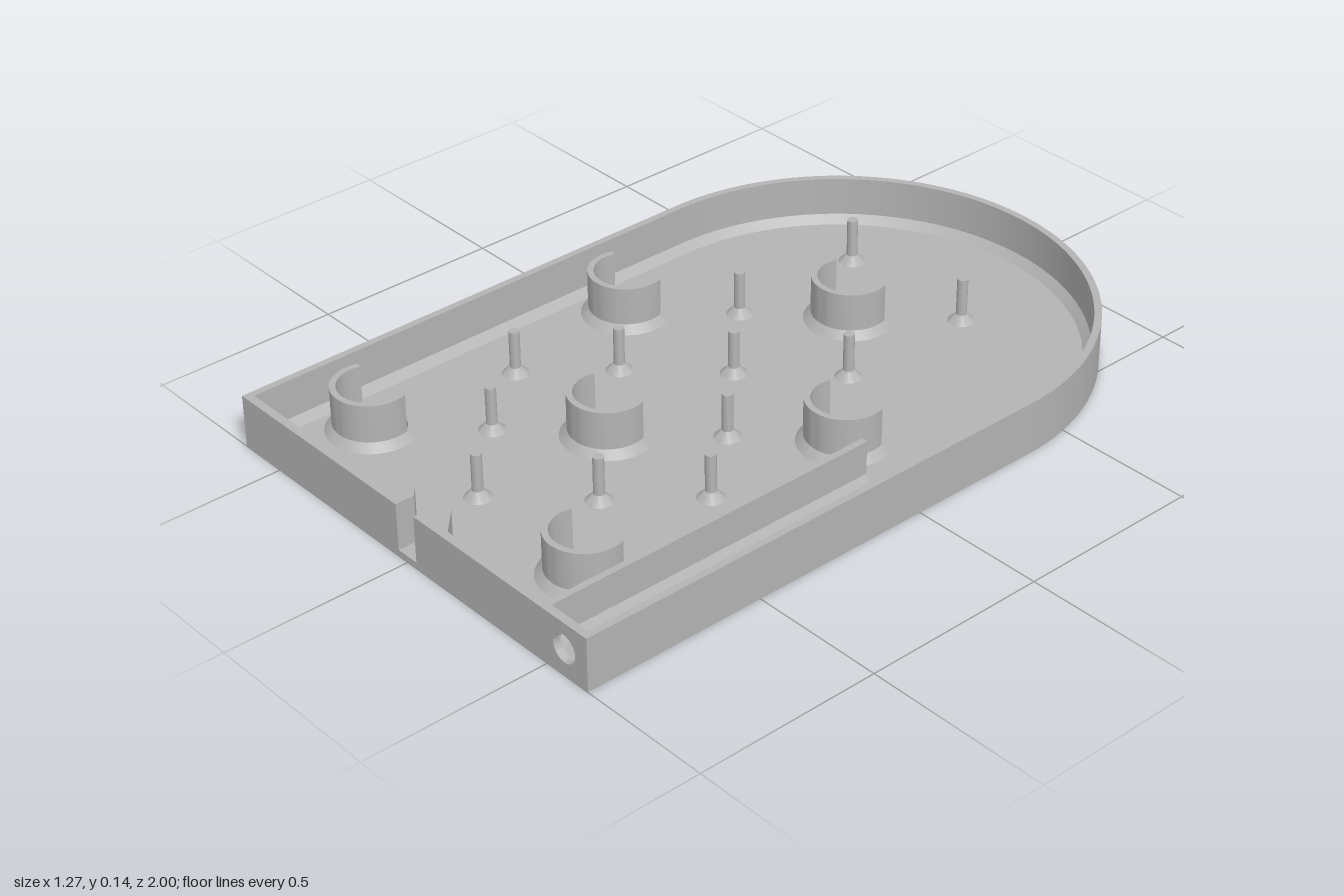
import * as THREE from 'three';
import { mergeGeometries, toCreasedNormals } from 'three/addons/utils/BufferGeometryUtils.js';

const R = 0.637, RI = 0.618, RC = 0.597;   // outer wall, inner wall, chamfer foot
const CZ = R - 1;                          // centre of the round end
const FLOOR = 0.017, FOOT = 0.038, TOP = 0.143, POST = 0.14;
const FRONT = 0.978;                       // inner face of the front wall
const HOLE = 0.083;

const shapeOf = pts => new THREE.Shape(pts.map(([x, y]) => new THREE.Vector2(x, y)));
const extrude = (shape, depth) =>
  toCreasedNormals(new THREE.ExtrudeGeometry(shape, { depth, bevelEnabled: false, curveSegments: 48 }), 0.5);
// plan shapes use (x, -z); raise them from y0 to y1
const slab = (shape, y0, y1) => extrude(shape, y1 - y0).rotateX(-Math.PI / 2).translate(0, y0, 0);
// section shapes use (x, y); run them from z0 to z1
const run = (shape, z0, z1) => extrude(shape, z1 - z0).translate(0, 0, z0);
const lathe = (pts, seg, start = 0, len = Math.PI * 2) => toCreasedNormals(
  new THREE.LatheGeometry(pts.map(([x, y]) => new THREE.Vector2(x, y)), seg, start, len).toNonIndexed(), 0.5);

export function createModel() {
  const group = new THREE.Group();
  const grey = new THREE.MeshStandardMaterial({ color: 0xb4b4b4 });
  grey.name = 'grey plastic';
  const add = (name, geometry, x = 0, z = 0) => {
    const mesh = new THREE.Mesh(geometry, grey);
    mesh.name = name;
    mesh.position.set(x, 0, z);
    group.add(mesh);
  };

  const holes = [[-0.08, -0.46], [-0.48, -0.06], [0.32, -0.06], [-0.08, 0.34], [-0.48, 0.74], [0.32, 0.74]];
  const pins = [[-0.08, -0.065], [-0.08, 0.735], [-0.44, 0.335], [0.285, 0.335]];
  for (const z of [-0.66, -0.265, 0.135, 0.535]) pins.push([-0.28, z], [0.12, z]);

  // floor with round holes
  const floor = new THREE.Shape();
  floor.moveTo(-R, -1).lineTo(R, -1).lineTo(R, -CZ);
  floor.absarc(0, -CZ, R, 0, Math.PI, false);
  floor.closePath();
  for (const [x, z] of holes) {
    const p = new THREE.Path();
    p.absarc(x, -z, HOLE, 0, Math.PI * 2, true);
    floor.holes.push(p);
  }
  add('floor', slab(floor, 0, FLOOR));

  // side walls and round back wall
  const wall = new THREE.Shape();
  wall.moveTo(R, -FRONT).lineTo(R, -CZ);
  wall.absarc(0, -CZ, R, 0, Math.PI, false);
  wall.lineTo(-R, -FRONT).lineTo(-RI, -FRONT).lineTo(-RI, -CZ);
  wall.absarc(0, -CZ, RI, Math.PI, 0, true);
  wall.lineTo(RI, -FRONT);
  wall.closePath();
  add('outerWall', slab(wall, FLOOR, TOP));

  // chamfer where the wall meets the floor
  add('backChamfer', lathe([[RI, FOOT], [RC, FLOOR]], 48, Math.PI / 2, Math.PI), 0, CZ);
  for (const s of [-1, 1])
    add('sideChamfer', run(shapeOf([[s * RI, FLOOR], [s * RI, FOOT], [s * RC, FLOOR]]), CZ, FRONT));

  // front wall, split by a slot, with a round port and guides beside the slot
  for (const s of [-1, 1]) {
    const panel = shapeOf([[s * 0.033, FLOOR], [s * R, FLOOR], [s * R, TOP], [s * 0.033, TOP]]);
    if (s > 0) {
      const port = new THREE.Path();
      port.absarc(0.56, 0.073, 0.037, 0, Math.PI * 2, true);
      panel.holes.push(port);
    }
    add('frontWall', run(panel, FRONT, 1));
    const guide = shapeOf([[0.033, -FRONT], [0.033, -0.948], [0.068, -0.92], [0.13, -FRONT]].map(([x, y]) => [s * x, y]));
    add('slotGuide', slab(guide, FLOOR, TOP));
  }

  // divider of the side channel
  add('divider', run(shapeOf([[0.443, FLOOR], [0.493, FLOOR], [0.478, FOOT], [0.478, 0.128],
    [0.46, 0.128], [0.46, FOOT]]), 0.02, FRONT));

  // open collars around the holes, with closed ends
  const section = [[0.118, FLOOR], [0.099, FOOT], [0.099, POST], [HOLE, POST], [HOLE, FLOOR]];
  const half = THREE.MathUtils.degToRad(109);
  const cap = (phi, s) => new THREE.ShapeGeometry(shapeOf(section.map(([r, y]) => [s * r, y])))
    .toNonIndexed().rotateY(phi - s * Math.PI / 2);
  const collar = mergeGeometries([lathe(section, 40, -half, 2 * half), cap(-half, 1), cap(half, -1)]);
  for (const [x, z] of holes) add('collar', collar, x, z);

  // thin pins on conical feet
  const pin = lathe([[0.035, FLOOR], [0.014, FOOT], [0.014, POST], [0, POST]], 24);
  for (const [x, z] of pins) add('pin', pin, x, z);

  return group;
}
